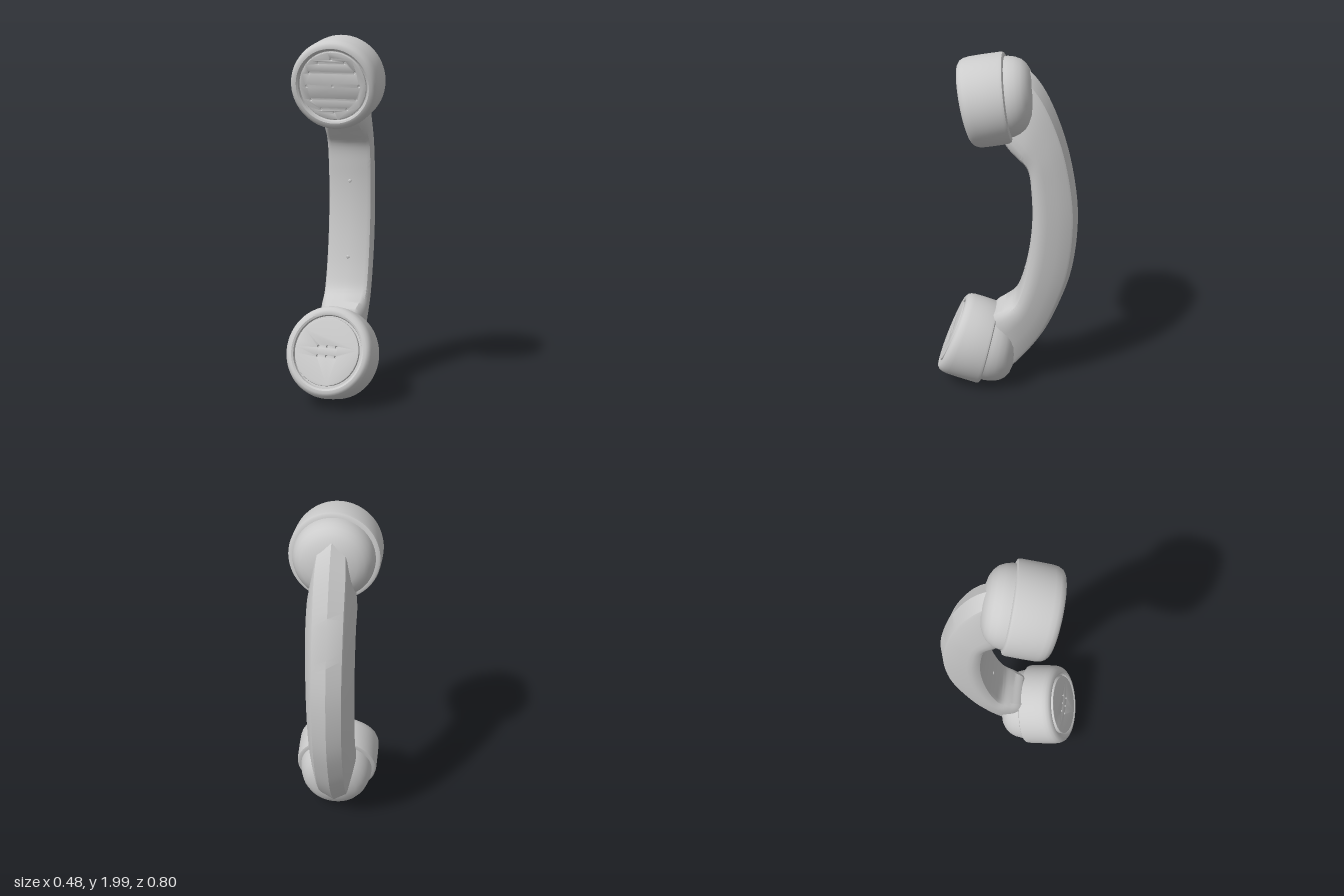
import * as THREE from 'three';
import { toCreasedNormals } from 'three/addons/utils/BufferGeometryUtils.js';

const material = new THREE.MeshStandardMaterial({ color: 0xcccccc });
const HALF = 0.115; // half the depth of a cap

function addMesh(parent, geometry, name) {
  const mesh = new THREE.Mesh(geometry, material);
  mesh.name = name;
  parent.add(mesh);
  return mesh;
}

// Makes the depth grow or shrink with height, so front and back tilt differently.
function wedge(geometry, k, stretch) {
  const p = geometry.attributes.position;
  for (let i = 0; i < p.count; i++) {
    const y = p.getY(i) * stretch;
    p.setY(i, y);
    p.setZ(i, p.getZ(i) * (1 + k * y));
  }
  return toCreasedNormals(geometry, 0.6);
}

// Lathe around the z axis, profile given as [radius, z] from back to front.
function turned(profile) {
  const points = profile.map(([r, a]) => new THREE.Vector2(r, a));
  return new THREE.LatheGeometry(points, 64).rotateX(Math.PI / 2);
}

// Round plate with small drilled holes.
function drilledPlate(radius, holes, front) {
  const shape = new THREE.Shape().absarc(0, 0, radius, 0, Math.PI * 2);
  for (const [x, y] of holes) {
    shape.holes.push(new THREE.Path().absarc(x, y, 0.01, 0, Math.PI * 2, true));
  }
  const geometry = new THREE.ExtrudeGeometry(shape, {
    depth: 0.016, curveSegments: 32, bevelSize: 0.004, bevelThickness: 0.004, bevelSegments: 2,
  });
  return geometry.translate(0, 0, front - 0.02);
}

function createEnd(name, { y, z, tilt, k, stretch, domeDepth, plateRadius, plateFront, holes }) {
  const end = new THREE.Group();
  end.name = name;

  // Cap with rounded lip and a sunken seat for the plate
  const cap = turned([
    [0.2, -HALF], [0.225, -HALF], [0.236, -HALF + 0.006], [0.24, -HALF + 0.02],
    [0.241, 0], [0.24, HALF - 0.055], [0.236, HALF - 0.03], [0.227, HALF - 0.012],
    [0.214, HALF - 0.002], [0.2, HALF], [0.19, HALF - 0.006], [0.186, HALF - 0.022],
    [0, HALF - 0.022],
  ]);
  addMesh(end, wedge(cap, k, stretch), name + 'Cap');

  // Domed back that blends the cap into the handle
  const back = [[0, 1], [0.07, 0.98], [0.13, 0.88], [0.165, 0.74], [0.188, 0.58],
    [0.204, 0.36], [0.213, 0.12], [0.215, -0.3]];
  const dome = turned(back.map(([r, t]) => [r, -HALF - t * domeDepth]));
  addMesh(end, wedge(dome, k, stretch), name + 'Dome');

  addMesh(end, wedge(drilledPlate(plateRadius, holes, plateFront), k, stretch), name + 'Plate');

  end.position.set(0, y, z);
  end.rotation.x = tilt;
  return end;
}

// Curved grip lofted between an outer and an inner spine
function createHandle() {
  // outer z, outer y, inner z, inner y, half width
  const stations = [
    [0.11, 0.06, 0.12, 0.4, 0.08], [-0.01, 0.075, 0.05, 0.5, 0.115],
    [-0.1, 0.164, -0.005, 0.535, 0.13], [-0.222, 0.34, -0.058, 0.58, 0.132],
    [-0.31, 0.54, -0.097, 0.68, 0.132], [-0.376, 0.762, -0.136, 0.88, 0.132],
    [-0.402, 1.07, -0.153, 1.08, 0.132], [-0.376, 1.317, -0.148, 1.26, 0.132],
    [-0.31, 1.58, -0.125, 1.4, 0.132], [-0.21, 1.81, -0.07, 1.46, 0.13],
    [-0.13, 1.91, -0.02, 1.51, 0.115], [-0.04, 1.96, 0.03, 1.58, 0.09],
  ];
  const outer = new THREE.CatmullRomCurve3(stations.map((s) => new THREE.Vector3(s[4], s[1], s[0])));
  const inner = new THREE.CatmullRomCurve3(stations.map((s) => new THREE.Vector3(0, s[3], s[2])));

  // Half section from back ridge to front: [share of width, share of depth]
  const half = [[0, 0], [0.6, 0.105], [0.66, 0.15], [0.84, 0.42], [0.97, 0.66], [1, 0.76],
    [0.98, 0.87], [0.9, 0.95], [0.75, 0.99], [0, 1]];
  const ring = [...half, ...half.slice(1, -1).reverse().map(([w, t]) => [-w, t])];

  const rows = 66;
  const n = ring.length;
  const positions = [];
  const index = [];
  for (let i = 0; i <= rows; i++) {
    const o = outer.getPoint(i / rows);
    const f = inner.getPoint(i / rows);
    for (const [w, t] of ring) {
      positions.push(w * o.x, THREE.MathUtils.lerp(o.y, f.y, t), THREE.MathUtils.lerp(o.z, f.z, t));
    }
    if (i === rows) break;
    for (let j = 0; j < n; j++) {
      const a = i * n + j;
      const b = i * n + ((j + 1) % n);
      index.push(a, a + n, b, b, a + n, b + n);
    }
  }
  const geometry = new THREE.BufferGeometry();
  geometry.setAttribute('position', new THREE.Float32BufferAttribute(positions, 3));
  geometry.setIndex(index);
  return toCreasedNormals(geometry, 0.6);
}

export function createModel() {
  const model = new THREE.Group();
  model.name = 'telephoneHandset';

  addMesh(model, createHandle(), 'handle');

  // Small screw heads on the inside of the grip
  for (const [y, z] of [[1.19, -0.152], [0.76, -0.115]]) {
    const screw = addMesh(model, new THREE.SphereGeometry(0.01, 12, 8), 'screw');
    screw.scale.z = 0.4;
    screw.position.set(0, y, z);
  }

  // Earpiece: ring of holes around a centre hole
  const ringHoles = [[0, 0]];
  for (let i = 0; i < 12; i++) {
    const a = (i / 12) * Math.PI * 2;
    ringHoles.push([0.143 * Math.cos(a), 0.143 * Math.sin(a)]);
  }
  model.add(createEnd('earpiece', {
    y: 1.745, z: 0.091, tilt: 0.175, k: 0.35, stretch: 1, domeDepth: 0.135,
    plateRadius: 0.178, plateFront: HALF - 0.01, holes: ringHoles,
  }));

  // Mouthpiece: two rows of three holes
  const gridHoles = [];
  for (const x of [-0.05, 0, 0.05]) for (const y of [-0.025, 0.025]) gridHoles.push([x, y]);
  model.add(createEnd('mouthpiece', {
    y: 0.285, z: 0.202, tilt: -0.314, k: -0.7, stretch: 1.04, domeDepth: 0.165,
    plateRadius: 0.172, plateFront: HALF + 0.003, holes: gridHoles,
  }));

  return model;
}
